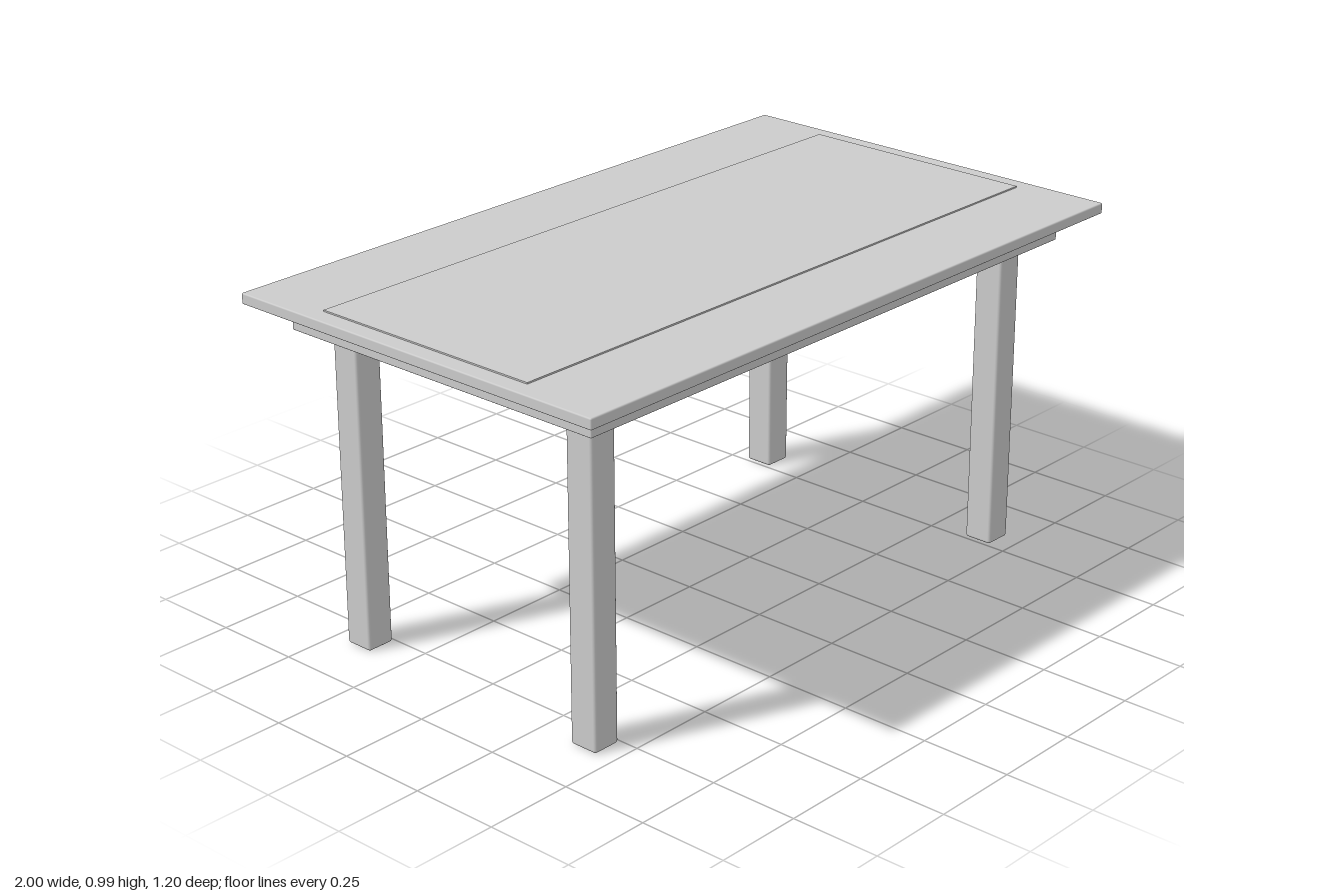
import * as THREE from 'three';
import { RoundedBoxGeometry } from 'three/addons/geometries/RoundedBoxGeometry.js';

const material = new THREE.MeshStandardMaterial({ color: 0xcccccc });

export function createModel() {
  const table = new THREE.Group();
  table.name = 'table';

  // Box with softened edges, placed by its bottom height
  const addBox = (name, w, h, d, x, bottom, z, bevel) => {
    const geometry = bevel
      ? new RoundedBoxGeometry(w, h, d, 2, bevel)
      : new THREE.BoxGeometry(w, h, d);
    const mesh = new THREE.Mesh(geometry, material);
    mesh.name = name;
    mesh.position.set(x, bottom + h / 2, z);
    table.add(mesh);
  };

  // Table top with a thin raised panel along its middle
  addBox('tableTop', 2, 0.03, 1.2, 0, 0.956, 0, 0.004);
  addBox('topPanel', 1.9, 0.006, 0.7, 0, 0.984, 0);

  // Apron: a hollow rectangular frame under the top
  const rail = 0.07;
  const halfX = 0.912, halfZ = 0.515;
  for (const s of [1, -1]) {
    const end = s > 0 ? 'front' : 'back';
    const side = s > 0 ? 'left' : 'right';
    addBox(end + 'Apron', halfX * 2, 0.073, rail, 0, 0.884, s * (halfZ - rail / 2), 0.003);
    addBox(side + 'Apron', rail, 0.073, (halfZ - rail) * 2 + 0.01, s * (halfX - rail / 2), 0.884, 0, 0.003);
  }

  // Four square legs inside the frame corners, reaching the top
  for (const sx of [1, -1]) {
    for (const sz of [1, -1]) {
      const name = (sz > 0 ? 'front' : 'back') + (sx > 0 ? 'Left' : 'Right') + 'Leg';
      addBox(name, 0.082, 0.955, 0.084, sx * 0.8, 0.003, sz * 0.405, 0.008);
    }
  }
  return table;
}
